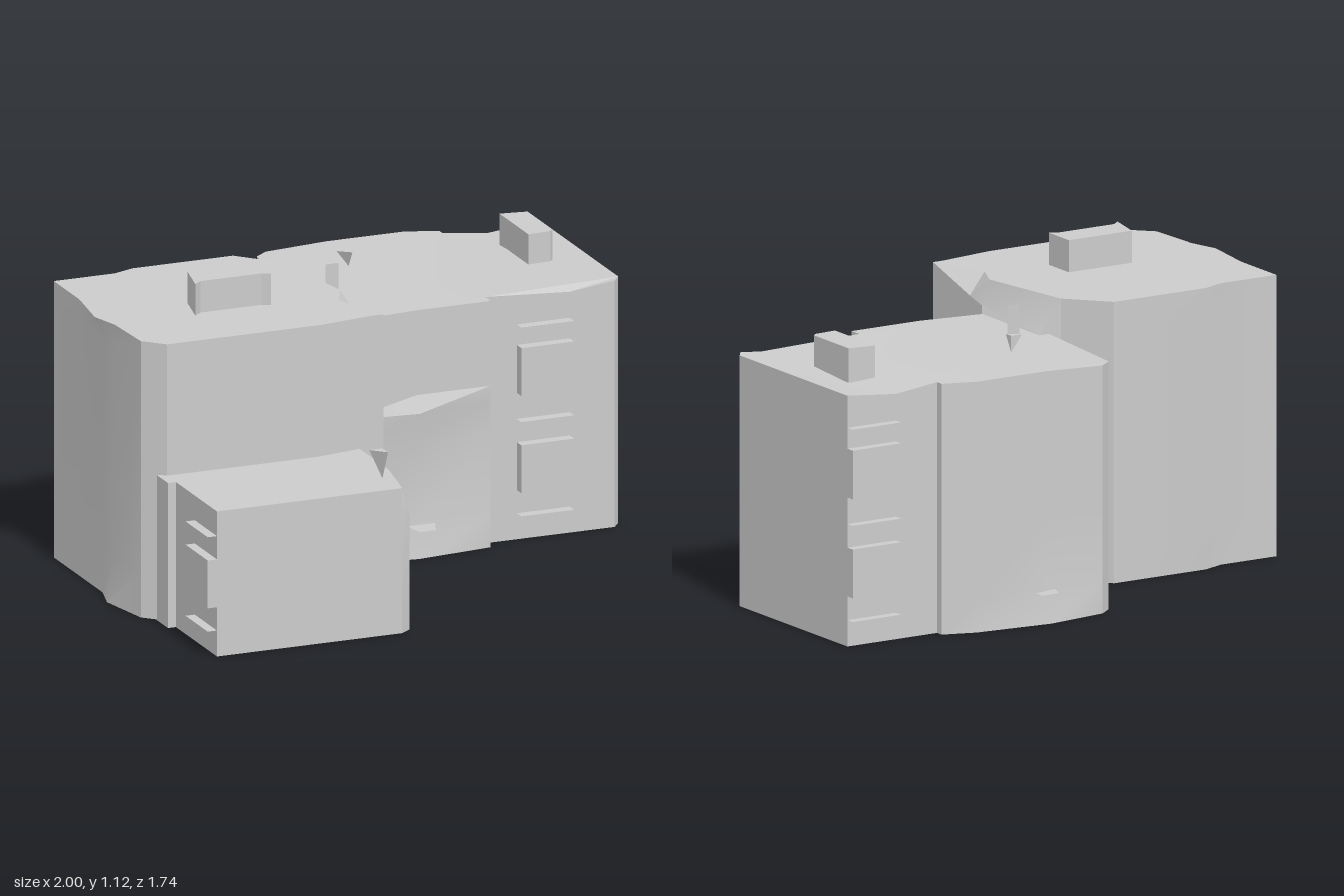
import * as THREE from 'three';
import { toCreasedNormals } from 'three/addons/utils/BufferGeometryUtils.js';

const mat = new THREE.MeshStandardMaterial({ color: 0xcccccc, side: THREE.DoubleSide });

export function createModel() {
  const model = new THREE.Group();

  const add = (name, geometry, parent = model) => {
    const mesh = new THREE.Mesh(toCreasedNormals(geometry, 0.45), mat);
    mesh.name = name;
    parent.add(mesh);
    return mesh;
  };

  // Surface through rows of [x, y, z] points, listed from bottom to top
  const loft = (name, rows, parent) => {
    const n = rows[0].length, index = [];
    for (let r = 0; r < rows.length - 1; r++)
      for (let i = 0; i < n - 1; i++) {
        const a = r * n + i;
        index.push(a, a + 1, a + n + 1, a, a + n + 1, a + n);
      }
    const g = new THREE.BufferGeometry();
    g.setAttribute('position', new THREE.Float32BufferAttribute(rows.flat(2), 3));
    g.setIndex(index);
    return add(name, g, parent);
  };

  // Horizontal sheet over an [x, z] outline, lifted by a height rule
  const sheet = (name, outline, height, parent) => {
    const g = new THREE.ShapeGeometry(new THREE.Shape(outline.map(([x, z]) => new THREE.Vector2(x, -z))));
    g.rotateX(-Math.PI / 2);
    const p = g.attributes.position;
    for (let i = 0; i < p.count; i++) p.setY(i, height(p.getX(i), p.getZ(i)));
    return add(name, g, parent);
  };

  const box = (name, x0, x1, y0, y1, z0, z1, parent) =>
    add(name, new THREE.BoxGeometry(x1 - x0, y1 - y0, z1 - z0), parent)
      .position.set((x0 + x1) / 2, (y0 + y1) / 2, (z0 + z1) / 2);

  const at = (path, y) => path.map(([x, z, h]) => [x, h ?? y, z]);

  const block = (name) => {
    const g = new THREE.Group();
    g.name = name;
    model.add(g);
    return g;
  };

  // Tall block: walls that flare out slightly at the foot and the eaves
  const tall = block('tallBlock');
  const sides = (flareA, flareB) => [
    [-0.15, -0.3], [-0.28, -0.44], [-0.66, -0.44], [-0.74, -0.41], [-0.97, -0.41], [-0.97, -0.18],
    [-0.97 - flareA, 0.03], [-0.97 - flareB, 0.14], [-0.96, 0.35], [-0.89, 0.42]];
  loft('tallOuterWalls', [
    at(sides(0, 0.03), 0), at(sides(0, 0), 0.17), at(sides(0, 0), 0.93), at(sides(0.03, 0), 1.01)], tall);
  const front = [[-0.89, 0.42], [-0.31, 0.42], [-0.14, 0.39], [-0.06, 0.39]];
  loft('tallFrontWall', [at(front, 0.53), at(front, 1.01)], tall);
  const pier = [[-0.15, 0.39], [-0.06, 0.39]];
  loft('frontPier', [at(pier, 0), at(pier, 0.53)], tall);
  const inner = [[-0.06, 0.39, 1.01], [-0.06, 0.15, 0.94], [-0.06, 0.07, 0.92]];
  loft('tallSideWall', [inner.map(([x, , z]) => 0) && inner.map(([x, z]) => [x, 0, z]), at(inner)], tall);
  const notch = [[-0.06, -0.3, 0.89], [-0.15, -0.3, 1.01]];
  loft('tallNotchWall', [notch.map(([x, z]) => [x, 0, z]), at(notch)], tall);

  // Roof with a sloping edge towards the wide block
  const roofEdge = [[-0.1, 0.39], [-0.14, 0.18], [-0.09, 0.07], [-0.15, -0.3]];
  sheet('tallRoof', [...front.slice(0, 2), ...roofEdge, ...sides(0.03, 0).slice(1, -1)], () => 1.01, tall);
  loft('roofSlope', [at([...inner, notch[0]]), at(roofEdge, 1.01)], tall);

  // Wide block: front and back walls bulge at a few levels
  const wide = block('wideBlock');
  const ring = (bulge, foot) => [
    [-0.06, 0.07], [0.2, 0.07 + bulge], [0.48, 0.07], [0.48, 0.02], [0.8, 0.02], [0.97, 0.02], [1, -0.02],
    [1, -0.72], [0.8, -0.72], [0.63, -0.72], [0.63, -0.75], [0.51, -0.79], [0.22, -0.79 - foot],
    [-0.01, -0.79], [-0.06, -0.75], [-0.1, -0.3]];
  const wideTop = (x) => (Math.abs(x - 0.8) < 0.01 ? 0.88 : x < 0 ? 0.89 : 0.9);
  const top = ring(0, 0).map(([x, z]) => [x, z, wideTop(x)]);
  loft('wideWalls', [
    at(ring(0.03, 0.03), 0), at(ring(0, 0), 0.12), at(ring(0, 0), 0.42),
    at(ring(0.03, 0), 0.53), at(ring(0, 0), 0.59), at(top)], wide);
  sheet('wideRoof', [...ring(0, 0), [-0.06, -0.3]], wideTop, wide);

  // Low block: stepped left wall and a chamfered front corner
  const low = block('lowBlock');
  const lowPath = (cx, cz) => [[-0.92, 0.4], [-0.92, 0.5], [-0.89, 0.5], [-0.89, 0.87], [-0.19, 0.87],
    [cx, cz], [-0.15, 0.65], [-0.15, 0.39]];
  loft('lowWalls', [at(lowPath(-0.15, 0.84), 0), at(lowPath(-0.15, 0.84), 0.42), at(lowPath(-0.18, 0.82), 0.53)], low);
  sheet('lowRoof', lowPath(-0.18, 0.82), () => 0.53, low);

  // Projecting windows with thin sills between them
  const bay = (name, x0, x1, z0, z1, floors) => {
    const g = block(name);
    for (let f = 0; f < floors; f++) box('window', x0, x1, 0.18 + f * 0.355, 0.355 + f * 0.355, z0, z1, g);
    for (let f = 0; f <= floors; f++)
      sheet('sill', [[x0, z1], [x1, z1], [x1, z0], [x0, z0]], () => 0.095 + f * 0.345, g);
  };
  bay('frontWindows', 0.6, 0.8, 0.02, 0.06, 2);
  bay('backWindows', 0.8, 1, -0.755, -0.72, 2);
  bay('lowRightWindows', -0.15, -0.11, 0.48, 0.67, 1);
  bay('lowLeftWindows', -0.925, -0.89, 0.67, 0.87, 1);

  // Rooftop boxes, each a closed wall with a lid
  const rooftop = (name, outline, y0, y1) => {
    const g = block(name), loop = [...outline, outline[0]];
    loft('sides', [at(loop, y0), at(loop, y1)], g);
    sheet('lid', outline, () => y1, g);
  };
  rooftop('tallRoofBox',
    [[-0.67, 0.15], [-0.64, 0.125], [-0.41, 0.125], [-0.38, 0.14], [-0.38, 0.01], [-0.64, 0.01]], 1.01, 1.125);
  rooftop('wideRoofBox',
    [[0.765, -0.27], [0.85, -0.275], [0.865, -0.29], [0.865, -0.515], [0.765, -0.53]], 0.88, 1.01);

  // Small roof vents shaped as inverted wedges, and one upright plate
  const vent = (name, x, y, z, w, h, d) => {
    const a = [x, y + h, z], b = [x - w, y + h, z], c = [x, y + h, z + d], tip = [x, y, z];
    const g = new THREE.BufferGeometry();
    g.setAttribute('position', new THREE.Float32BufferAttribute(
      [tip, c, b, tip, a, c, tip, b, a, a, b, c].flat(), 3));
    add(name, g);
  };
  vent('lowRoofVent', -0.21, 0.53, 0.74, 0.05, 0.11, 0.05);
  vent('wideRoofVent', 0.18, 0.9, -0.495, 0.045, 0.06, 0.035);
  loft('roofPlate', [0.89, 1].map((y) => [[-0.01, y, -0.25], [0.04, y, -0.25]]));

  // Flat door canopies
  sheet('frontCanopy', [[0.18, 0.15], [0.24, 0.15], [0.27, 0.07], [0.16, 0.07]], () => 0.115);
  sheet('backCanopy', [[0.2, -0.81], [0.29, -0.83], [0.29, -0.87], [0.22, -0.87]], () => 0.12);

  return model;
}
